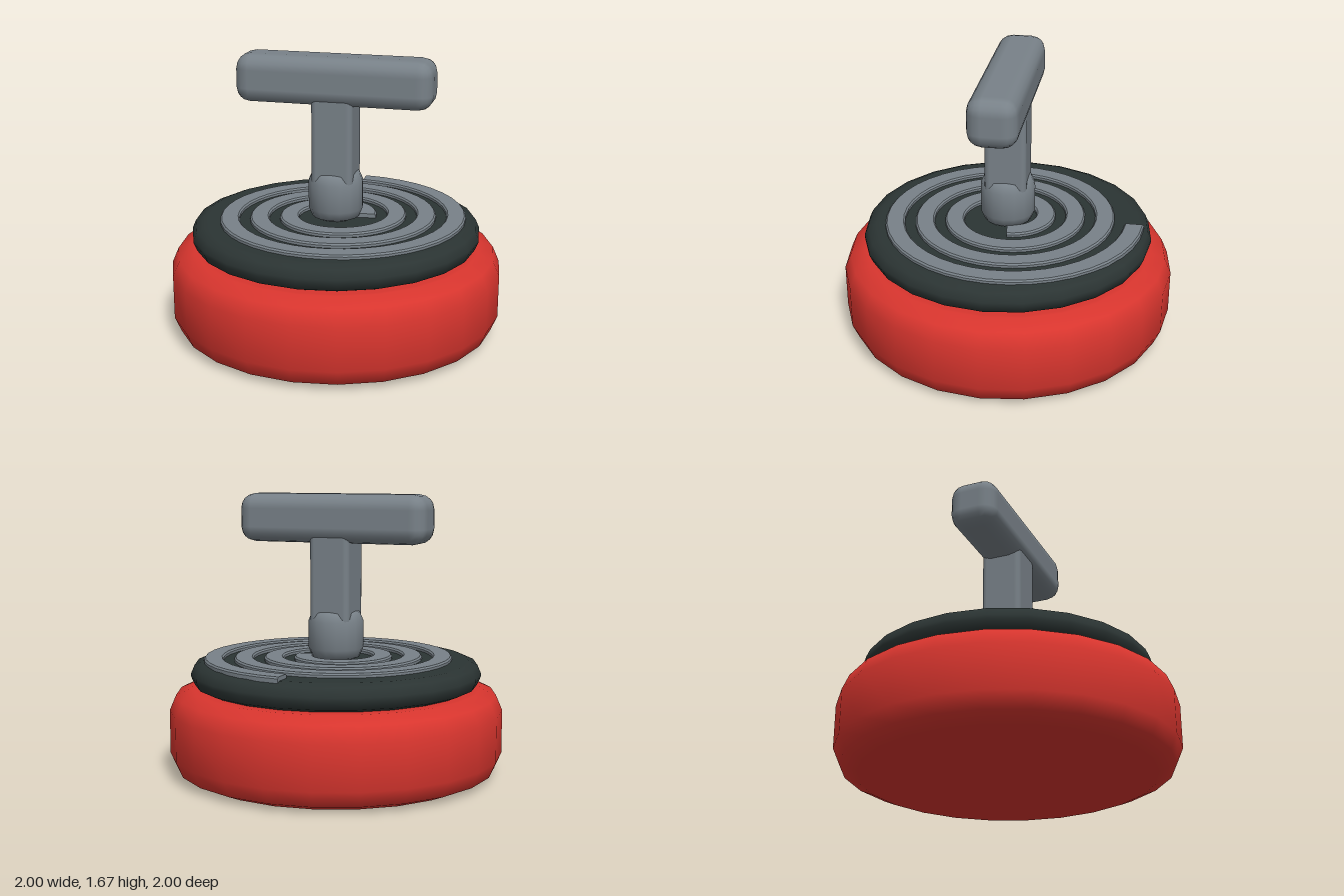
import * as THREE from 'three';
import { toCreasedNormals } from 'three/addons/utils/BufferGeometryUtils.js';
import { RoundedBoxGeometry } from 'three/addons/geometries/RoundedBoxGeometry.js';

const red = new THREE.MeshStandardMaterial({ name: 'red', color: 0xd8352e });
const rubber = new THREE.MeshStandardMaterial({ name: 'darkRubber', color: 0x2b3433 });
const metal = new THREE.MeshStandardMaterial({ name: 'greyMetal', color: 0x788188 });

// Turned part: profile of [radius, y] from bottom to top
function turned(name, profile, sides, material) {
  const points = profile.map(([r, y]) => new THREE.Vector2(r, y));
  const geometry = toCreasedNormals(new THREE.LatheGeometry(points, sides), 0.85);
  const mesh = new THREE.Mesh(geometry, material);
  mesh.name = name;
  return mesh;
}

// Closed disc with bevelled rims and flat caps
function bevelledDisc(name, r, y0, y1, b, sides, material) {
  const k = b * 0.3;
  return turned(name, [
    [0, y0], [r - b - 0.02, y0], [r - b, y0], [r - k, y0 + k], [r, y0 + b],
    [r, y1 - b], [r - k, y1 - k], [r - b, y1], [r - b - 0.02, y1], [0, y1],
  ], sides, material);
}

function roundedBar(name, w, h, d, radius, y) {
  const mesh = new THREE.Mesh(new RoundedBoxGeometry(w, h, d, 2, radius), metal);
  mesh.name = name;
  mesh.position.y = y;
  return mesh;
}

// Flat bevelled strip wound inward from the rear edge
function spiralStrip() {
  const section = [[-0.058, 0.67], [-0.058, 0.695], [-0.049, 0.705],
    [0.049, 0.705], [0.058, 0.695], [0.058, 0.67]];
  const turns = 3.23, steps = 130, positions = [];
  const ring = (s) => {
    const t = (s / steps) * turns, a = t * Math.PI * 2, r = 0.765 - 0.18 * t;
    return section.map(([o, y]) => [Math.sin(a) * (r + o), y, -Math.cos(a) * (r + o)]);
  };
  const tri = (...corners) => corners.forEach((c) => positions.push(...c));
  for (let s = 0; s < steps; s++) {
    const p = ring(s), q = ring(s + 1);
    for (let i = 0; i < section.length - 1; i++) {
      tri(p[i], q[i], p[i + 1]);
      tri(p[i + 1], q[i], q[i + 1]);
    }
  }
  // End caps
  const first = ring(0), last = ring(steps);
  for (let i = 1; i < section.length - 1; i++) {
    tri(first[0], first[i], first[i + 1]);
    tri(last[0], last[i + 1], last[i]);
  }
  const geometry = new THREE.BufferGeometry();
  geometry.setAttribute('position', new THREE.Float32BufferAttribute(positions, 3));
  const mesh = new THREE.Mesh(toCreasedNormals(geometry, 0.5), metal);
  mesh.name = 'spiralStrip';
  return mesh;
}

export function createModel() {
  const model = new THREE.Group();
  model.name = 'handledDisc';

  // Body and upper pad
  model.add(bevelledDisc('base', 1, 0, 0.52, 0.13, 24, red));
  model.add(bevelledDisc('upperPad', 0.87, 0.52, 0.68, 0.07, 24, rubber));
  model.add(spiralStrip());

  // Socket, stem and crossbar grip
  model.add(bevelledDisc('stemSocket', 0.165, 0.675, 0.99, 0.075, 16, metal));
  model.add(roundedBar('stem', 0.25, 0.72, 0.25, 0.035, 1.13));
  model.add(roundedBar('handle', 1.18, 0.29, 0.29, 0.09, 1.525));
  return model;
}
